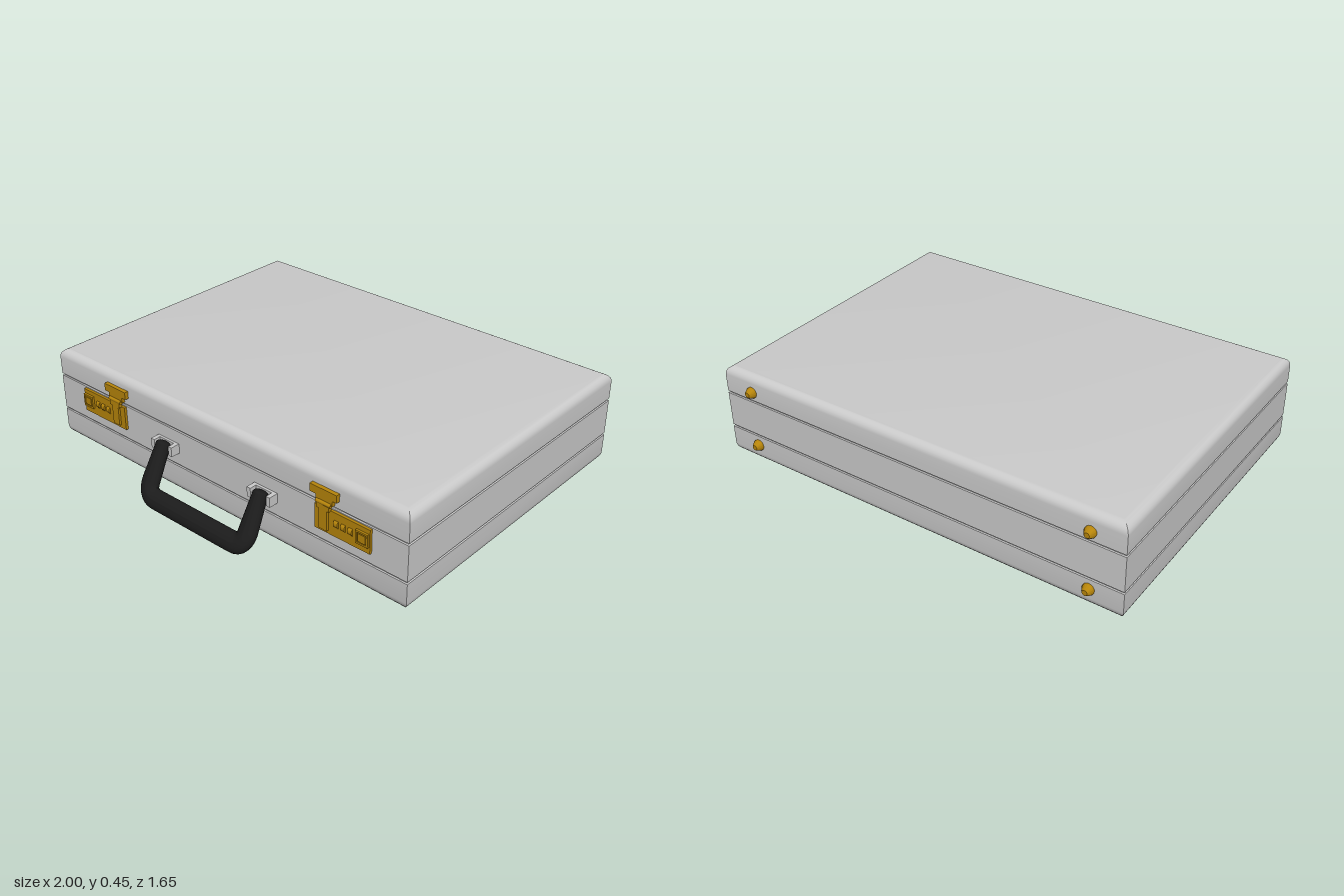
import * as THREE from 'three';
import { toCreasedNormals } from 'three/addons/utils/BufferGeometryUtils.js';

const shell = new THREE.MeshStandardMaterial({ color: 0xcccccc });
const gold = new THREE.MeshStandardMaterial({ color: 0xb8860b });
const black = new THREE.MeshStandardMaterial({ color: 0x1c1c1c });
const leather = new THREE.MeshStandardMaterial({ color: 0x141a1c });

const HALF_W = 1, HALF_D = 0.72, MID_Z = -0.07, FRONT = MID_Z + HALF_D;

function add(parent, name, geometry, material, x = 0, y = 0, z = 0) {
  const mesh = new THREE.Mesh(geometry, material);
  mesh.name = name;
  mesh.position.set(x, y, z);
  parent.add(mesh);
  return mesh;
}
const box = (parent, name, mat, w, h, d, x, y, z) =>
  add(parent, name, new THREE.BoxGeometry(w, h, d), mat, x, y, z);

// Rectangular rings following an (inset, height) profile, with mitred corners
function caseGeometry() {
  const profile = [], R = 0.04, N = 6;
  for (let i = 0; i <= N; i++) {
    const a = (i / N) * Math.PI / 2;
    profile.push([R * (1 - Math.sin(a)), 0.01 + R * (1 - Math.cos(a))]);
  }
  for (const y of [0.145, 0.32]) {
    profile.push([0, y - 0.005], [0.007, y - 0.004], [0.007, y + 0.004], [0, y + 0.005]);
  }
  for (let i = 0; i <= N; i++) {
    const a = (i / N) * Math.PI / 2;
    profile.push([R * (1 - Math.cos(a)), 0.41 + R * Math.sin(a)]);
  }
  const corners = [[1, 1], [1, -1], [-1, -1], [-1, 1]];
  const rings = profile.map(([inset, y]) =>
    corners.map(([sx, sz]) => [sx * (HALF_W - inset), y, MID_Z + sz * (HALF_D - inset)]));
  const pos = [];
  const quad = (a, b, c, d) => pos.push(...a, ...b, ...c, ...a, ...c, ...d);
  for (let i = 0; i < rings.length - 1; i++) {
    for (let k = 0; k < 4; k++) {
      const n = (k + 1) % 4;
      quad(rings[i][k], rings[i][n], rings[i + 1][n], rings[i + 1][k]);
    }
  }
  quad(...rings[rings.length - 1]);
  const g = new THREE.BufferGeometry();
  g.setAttribute('position', new THREE.Float32BufferAttribute(pos, 3));
  return toCreasedNormals(g, 0.5);
}

// Combination lock, drawn for the +x side; s mirrors the layout
function lock(s) {
  const g = new THREE.Group();
  g.name = s > 0 ? 'leftLock' : 'rightLock';
  const part = (name, w, h, d, x, y, z = 0) =>
    box(g, name, gold, w, h, d, s * x, y, FRONT + z + d / 2);
  part('lockPlate', 0.275, 0.11, 0.012, 0.692, 0.255);
  // Square release button in a raised frame
  for (const e of [-1, 1]) {
    part('buttonFrameSide', 0.008, 0.06, 0.012, 0.795 + e * 0.026, 0.26, 0.01);
    part('buttonFrameRail', 0.06, 0.008, 0.012, 0.795, 0.26 + e * 0.026, 0.01);
  }
  part('releaseButton', 0.036, 0.036, 0.014, 0.795, 0.26, 0.008);
  // Number wheels
  for (let i = 0; i < 3; i++) {
    const wheel = add(g, 'numberWheel', new THREE.CylinderGeometry(0.02, 0.02, 0.02, 12),
      gold, s * (0.665 + i * 0.035), 0.26, FRONT + 0.001);
    wheel.rotation.z = Math.PI / 2;
  }
  // Hasp reaching up to the lid catch
  part('haspArm', 0.04, 0.12, 0.012, 0.605, 0.275, 0.01);
  part('haspNeck', 0.062, 0.022, 0.016, 0.605, 0.318, 0.008);
  part('haspShoulder', 0.085, 0.03, 0.016, 0.605, 0.348);
  part('lidCatch', 0.135, 0.035, 0.018, 0.603, 0.378);
  const pin = add(g, 'haspPin', new THREE.CylinderGeometry(0.009, 0.009, 0.075, 12),
    gold, s * 0.605, 0.334, FRONT + 0.016);
  pin.rotation.z = Math.PI / 2;
  return g;
}

// Hanging handle: an oval tube whose legs narrow toward the pivots
function handle() {
  const path = new THREE.CurvePath();
  const v = (x, y) => new THREE.Vector3(x, y, 0);
  path.add(new THREE.LineCurve3(v(-0.286, 0), v(-0.288, -0.165)));
  path.add(new THREE.QuadraticBezierCurve3(v(-0.288, -0.165), v(-0.287, -0.23), v(-0.225, -0.23)));
  path.add(new THREE.LineCurve3(v(-0.225, -0.23), v(0.225, -0.23)));
  path.add(new THREE.QuadraticBezierCurve3(v(0.225, -0.23), v(0.287, -0.23), v(0.288, -0.165)));
  path.add(new THREE.LineCurve3(v(0.288, -0.165), v(0.286, 0)));
  const tube = new THREE.TubeGeometry(path, 80, 0.046, 16);
  const p = tube.attributes.position;
  for (let i = 0; i < p.count; i++) {
    const x = p.getX(i), c = Math.sign(x) * 0.287;
    const k = 1 - 0.25 * THREE.MathUtils.clamp(1 + p.getY(i) / 0.16, 0, 1);
    if (Math.abs(x) > 0.2 && k < 1) p.setX(i, c + (x - c) * k);
    p.setZ(i, p.getZ(i) * 0.66);
  }
  tube.computeVertexNormals();
  const g = new THREE.Group();
  g.name = 'handle';
  add(g, 'grip', tube, black);
  for (const s of [-1, 1]) {
    add(g, 'gripEnd', new THREE.SphereGeometry(0.0345, 16, 10), black, s * 0.286, 0, 0)
      .scale.set(1, 0.45, 0.88);
  }
  g.position.set(0, 0.245, 0.682);
  g.rotation.x = -0.5;
  return g;
}

export function createModel() {
  const model = new THREE.Group();
  model.name = 'briefcase';
  add(model, 'caseShell', caseGeometry(), shell);
  box(model, 'bottomPanel', leather, 1.93, 0.006, 1.37, 0, 0.012, MID_Z);
  model.add(handle());

  for (const s of [-1, 1]) {
    model.add(lock(s));
    // Fork bracket holding one end of the handle
    const bracket = new THREE.Group();
    bracket.name = 'handleBracket';
    bracket.position.set(s * 0.285, 0.233, FRONT);
    box(bracket, 'bracketBase', shell, 0.126, 0.045, 0.012, 0, 0, 0.006);
    for (const e of [-1, 1]) {
      box(bracket, 'bracketProng', shell, 0.02, 0.045, 0.045, e * 0.053, 0, 0.0225);
    }
    const pin = add(bracket, 'bracketPin', new THREE.CylinderGeometry(0.007, 0.007, 0.11, 10), shell, 0, 0, 0.03);
    pin.rotation.z = Math.PI / 2;
    model.add(bracket);

    // Studs on the back
    const studProfile = [[0.026, 0], [0.026, 0.008], [0.016, 0.026], [0.012, 0.03], [0, 0.03]]
      .map(([r, h]) => new THREE.Vector2(r, h));
    for (const y of [0.095, 0.367]) {
      const stud = add(model, 'backStud', toCreasedNormals(new THREE.LatheGeometry(studProfile, 16), 0.5),
        gold, s * 0.848, y, MID_Z - HALF_D);
      stud.rotation.x = -Math.PI / 2;
    }
  }
  return model;
}
